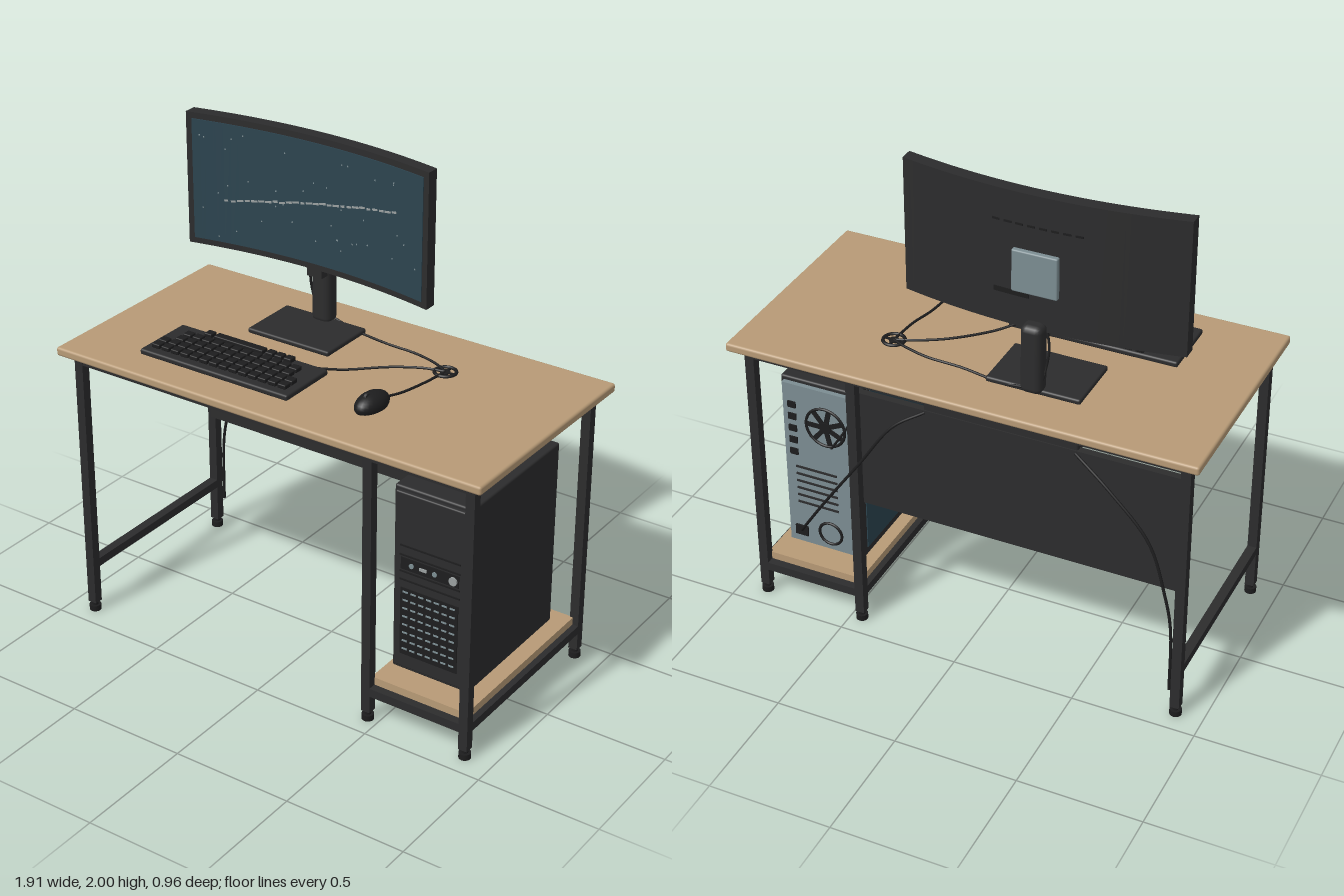
import * as THREE from 'three';
import { RoundedBoxGeometry } from 'three/addons/geometries/RoundedBoxGeometry.js';

const paint = (name, color) => Object.assign(new THREE.MeshStandardMaterial({ color }), { name });

export function createModel() {
  const wood = paint('wood', 0xb79a76);
  const dark = paint('dark metal', 0x2c2c2d);
  const black = paint('black plastic', 0x1d1d1e);
  const glass = paint('dark teal glass', 0x2c444f);
  const steel = paint('grey steel', 0x7c8d92);
  const light = paint('light grey', 0x9aa0a0);

  const root = new THREE.Group();
  root.name = 'computerDesk';
  const group = (name) => {
    const g = new THREE.Group();
    g.name = name;
    root.add(g);
    return g;
  };
  const add = (parent, name, geo, mat, x = 0, y = 0, z = 0) => {
    const m = new THREE.Mesh(geo, mat);
    m.name = name;
    m.position.set(x, y, z);
    parent.add(m);
    return m;
  };
  const box = (p, name, mat, w, h, d, x, y, z) => add(p, name, new THREE.BoxGeometry(w, h, d), mat, x, y, z);
  const soft = (p, name, mat, w, h, d, x, y, z, r = 0.008) =>
    add(p, name, new RoundedBoxGeometry(w, h, d, 2, r), mat, x, y, z);
  const disc = (p, name, mat, r, depth, x, y, z) =>
    add(p, name, new THREE.CylinderGeometry(r, r, depth, 20).rotateX(Math.PI / 2), mat, x, y, z);
  const cable = (p, name, pts, r = 0.005) => {
    const curve = new THREE.CatmullRomCurve3(pts.map((q) => new THREE.Vector3(...q)));
    return add(p, name, new THREE.TubeGeometry(curve, 32, r, 8), black);
  };

  // Desk: top, legs with levelling feet, rails and shelf
  const desk = group('desk');
  soft(desk, 'deskTop', wood, 1.91, 0.036, 0.96, 0, 1.182, 0, 0.01);
  const legX = [-0.89, 0.453, 0.885], t = 0.038;
  for (const x of legX) {
    for (const z of [-0.41, 0.41]) {
      box(desk, 'leg', dark, t, 1.125, t, x, 0.6025, z);
      add(desk, 'footNeck', new THREE.CylinderGeometry(0.013, 0.013, 0.03, 12), black, x, 0.033, z);
      add(desk, 'foot', new THREE.CylinderGeometry(0.024, 0.024, 0.024, 16), black, x, 0.012, z);
    }
    box(desk, 'topSideRail', dark, t, 0.04, 0.79, x, 1.144, 0);
  }
  for (const z of [-0.41, 0.41]) {
    box(desk, 'topRail', dark, 1.74, 0.04, t, 0, 1.144, z);
    box(desk, 'shelfRail', dark, 0.4, 0.036, t, 0.669, 0.134, z);
  }
  for (const x of legX.slice(1)) box(desk, 'shelfSideRail', dark, t, 0.036, 0.79, x, 0.134, 0);
  box(desk, 'leftSideRail', dark, t, 0.036, 0.79, -0.89, 0.218, 0);
  box(desk, 'shelf', wood, 0.42, 0.032, 0.79, 0.669, 0.168, 0);
  box(desk, 'backPanel', dark, 1.36, 0.505, 0.03, -0.19, 0.8125, -0.372);

  // Power strip on the panel
  const strip = group('powerStrip');
  soft(strip, 'stripBody', dark, 0.625, 0.09, 0.05, -0.1425, 1.056, -0.357);
  for (let i = 0; i < 5; i++) {
    const x = -0.372 + i * 0.108;
    disc(strip, 'socket', black, 0.026, 0.006, x, 1.055, -0.331);
    add(strip, 'socketRim', new THREE.TorusGeometry(0.024, 0.003, 6, 20), dark, x, 1.055, -0.328);
    for (const s of [-1, 1]) disc(strip, 'socketPin', light, 0.004, 0.004, x + s * 0.009, 1.055, -0.327);
  }
  box(strip, 'switch', wood, 0.046, 0.026, 0.01, 0.122, 1.057, -0.33);

  // Curved monitor: flat boxes bent along a parabola
  const monitor = group('monitor');
  const cx = -0.235;
  const bend = (x) => 0.2 * x * x;
  const bent = (name, mat, w, h, d, x, y, z, tilt = 0) => {
    const g = new THREE.BoxGeometry(w, h, d, Math.max(1, Math.ceil(w * 30)), 1, 1).rotateZ(tilt).translate(x, y, 0);
    const p = g.attributes.position;
    for (let i = 0; i < p.count; i++) p.setZ(i, p.getZ(i) + z + bend(p.getX(i)));
    g.computeVertexNormals();
    return add(monitor, name, g, mat, cx, 0, 0);
  };
  bent('monitorShell', dark, 1.11, 0.545, 0.052, 0, 1.7275, -0.242);
  bent('screen', glass, 1.06, 0.495, 0.006, 0, 1.7275, -0.215);
  const slope = Math.atan2(0.145, 0.81);
  let seed = 7;
  const rand = () => (seed = (seed * 16807) % 2147483647) / 2147483647;
  for (let i = 0; i < 26; i++) {
    const u = (i + 0.5) / 26 - 0.5;
    const w = 0.016 + 0.016 * rand();
    bent('screenStreak', light, w, 0.008, 0.002, u * 0.81, 1.7275 + u * 0.145 + (rand() - 0.5) * 0.006, -0.211, slope);
  }
  for (let i = 0; i < 40; i++) {
    bent('screenDot', steel, 0.005, 0.005, 0.002, (rand() - 0.5) * 1.0, 1.7275 + (rand() - 0.5) * 0.45, -0.211);
  }
  for (let i = 0; i < 8; i++) bent('rearVent', black, 0.03, 0.008, 0.004, (i - 3.5) * 0.046, 1.875, -0.269);
  bent('rearPortRow', black, 0.14, 0.02, 0.004, 0.1, 1.59, -0.269);
  soft(monitor, 'mountPlate', steel, 0.18, 0.17, 0.024, cx, 1.695, -0.28, 0.006);
  // Stand
  soft(monitor, 'standBase', dark, 0.38, 0.022, 0.26, cx, 1.212, -0.17);
  soft(monitor, 'standColumn', dark, 0.086, 0.285, 0.074, cx, 1.352, -0.289, 0.025);
  box(monitor, 'standBracket', dark, 0.07, 0.07, 0.05, cx, 1.455, -0.245);
  cable(monitor, 'monitorCable', [[-0.275, 1.46, -0.26], [-0.288, 1.39, -0.27], [-0.28, 1.31, -0.28], [-0.27, 1.25, -0.3]]);

  // Keyboard
  const keyboard = group('keyboard');
  soft(keyboard, 'keyboardBody', dark, 0.69, 0.024, 0.265, -0.305, 1.213, 0.2125);
  const key = (x, z, w) => soft(keyboard, 'key', black, w, 0.018, 0.036, x, 1.233, z, 0.004);
  const rows = [[0.157, 12, -0.307], [0.203, 12, -0.307], [0.248, 14, -0.307], [0.291, 14, -0.307]];
  for (const [z, n, mid] of rows) {
    for (let i = 0; i < n; i++) key(mid + (i - (n - 1) / 2) * 0.0455, z, 0.037);
  }
  key(-0.35, 0.105, 0.23);
  for (const x of [-0.495, -0.205, -0.163, -0.12]) key(x, 0.105, 0.034);

  // Mouse: flattened dome with wheel
  const mouse = group('mouse');
  mouse.position.set(0.325, 1.202, 0.21);
  mouse.rotation.y = -0.08;
  add(mouse, 'mouseBody', new THREE.SphereGeometry(1, 24, 10, 0, Math.PI * 2, 0, Math.PI * 0.62).scale(0.05, 0.045, 0.085), black, 0, 0.022, 0);
  add(mouse, 'mouseWheel', new THREE.CylinderGeometry(0.013, 0.013, 0.01, 14).rotateZ(Math.PI / 2), dark, 0, 0.06, 0.03);

  // Cable grommet and desk cables
  const cables = group('cables');
  const gx = 0.388, gz = -0.19;
  add(cables, 'grommet', new THREE.TorusGeometry(0.042, 0.007, 8, 28).rotateX(Math.PI / 2), black, gx, 1.203, gz);
  add(cables, 'grommetHole', new THREE.CylinderGeometry(0.02, 0.02, 0.006, 16), black, gx, 1.202, gz);
  box(cables, 'grommetBar', black, 0.08, 0.006, 0.008, gx, 1.203, gz);
  box(cables, 'grommetBar', black, 0.008, 0.006, 0.08, gx, 1.203, gz);
  cable(cables, 'keyboardCable', [[0, 1.222, 0.09], [0.07, 1.208, 0.02], [0.2, 1.207, -0.1], [0.31, 1.207, -0.165], [gx, 1.204, gz]]);
  cable(cables, 'mouseCable', [[0.332, 1.218, 0.13], [0.35, 1.207, 0.05], [0.375, 1.207, -0.06], [gx, 1.204, gz]]);
  cable(cables, 'displayCable', [[cx, 1.23, -0.31], [-0.1, 1.208, -0.29], [0.07, 1.207, -0.26], [0.22, 1.207, -0.25], [0.33, 1.207, -0.22], [gx, 1.204, gz]]);
  cable(cables, 'stripCable', [[0.17, 1.06, -0.35], [0.27, 1.075, -0.3], [0.36, 1.105, -0.24], [gx, 1.17, gz]]);
  cable(cables, 'dropCable', [[gx, 1.17, gz], [0.395, 1.1, -0.24], [0.44, 1.04, -0.31], [0.52, 0.86, -0.335], [0.6, 0.73, -0.335]]);
  cable(cables, 'mainsCable', [[-0.45, 1.06, -0.395], [-0.6, 0.95, -0.42], [-0.76, 0.78, -0.43], [-0.835, 0.56, -0.435], [-0.862, 0.42, -0.435], [-0.868, 0.13, -0.435]], 0.006);
  cable(cables, 'computerCable', [[0.76, 0.28, -0.325], [0.72, 0.34, -0.37], [0.58, 0.55, -0.43], [0.42, 0.78, -0.44], [0.28, 0.98, -0.42], [0.16, 1.06, -0.39]], 0.006);

  // Computer case
  const pc = group('computerCase');
  const px = 0.6625;
  soft(pc, 'caseBody', dark, 0.335, 0.785, 0.61, px, 0.5975, 0.005);
  box(pc, 'sideWindow', glass, 0.006, 0.71, 0.55, 0.494, 0.5975, 0.005);
  soft(pc, 'frontBezel', dark, 0.31, 0.75, 0.024, px, 0.6, 0.313, 0.006);
  for (const x of [0.55, 0.775]) for (const z of [-0.25, 0.25]) {
    add(pc, 'caseFoot', new THREE.CylinderGeometry(0.016, 0.016, 0.024, 14), black, x, 0.195, z);
  }
  for (const y of [0.755, 0.715, 0.645, 0.61]) box(pc, 'frontGroove', black, 0.26, 0.006, 0.006, px, y, 0.326);
  box(pc, 'portBay', black, 0.25, 0.05, 0.005, px, 0.68, 0.326);
  disc(pc, 'powerButton', light, 0.017, 0.012, 0.765, 0.68, 0.33);
  for (const x of [0.585, 0.685]) disc(pc, 'audioPort', steel, 0.01, 0.006, x, 0.68, 0.33);
  box(pc, 'dataPort', light, 0.032, 0.012, 0.006, 0.635, 0.68, 0.33);
  box(pc, 'grille', black, 0.25, 0.29, 0.005, px, 0.43, 0.326);
  for (let r = 0; r < 8; r++) for (let c = 0; c < 7; c++) {
    box(pc, 'grilleSlot', steel, 0.022, 0.006, 0.004, px + (c - 3) * 0.034, 0.56 - r * 0.0355, 0.33);
  }

  // Rear of the case: plate, fan, ports, slots and power supply
  const bz = -0.322;
  box(pc, 'rearPlate', steel, 0.305, 0.75, 0.02, px, 0.5975, -0.31);
  add(pc, 'fanRing', new THREE.TorusGeometry(0.085, 0.006, 8, 28), black, 0.63, 0.81, bz);
  disc(pc, 'fanHub', black, 0.025, 0.012, 0.63, 0.81, bz);
  for (let i = 0; i < 7; i++) {
    const a = (i / 7) * Math.PI * 2;
    const blade = box(pc, 'fanBlade', black, 0.065, 0.02, 0.006, 0.63 + 0.05 * Math.cos(a), 0.81 + 0.05 * Math.sin(a), bz);
    blade.rotation.z = a;
  }
  for (let i = 0; i < 5; i++) box(pc, 'rearPort', black, 0.035, 0.028, 0.008, 0.775, 0.88 - i * 0.055, bz);
  for (let i = 0; i < 6; i++) box(pc, 'expansionSlot', dark, 0.18, 0.008, 0.006, 0.68, 0.59 - i * 0.034, bz);
  add(pc, 'supplyFanRing', new THREE.TorusGeometry(0.05, 0.006, 8, 24), black, 0.63, 0.3, bz);
  box(pc, 'powerInlet', black, 0.055, 0.045, 0.012, 0.76, 0.28, bz);
  return root;
}
